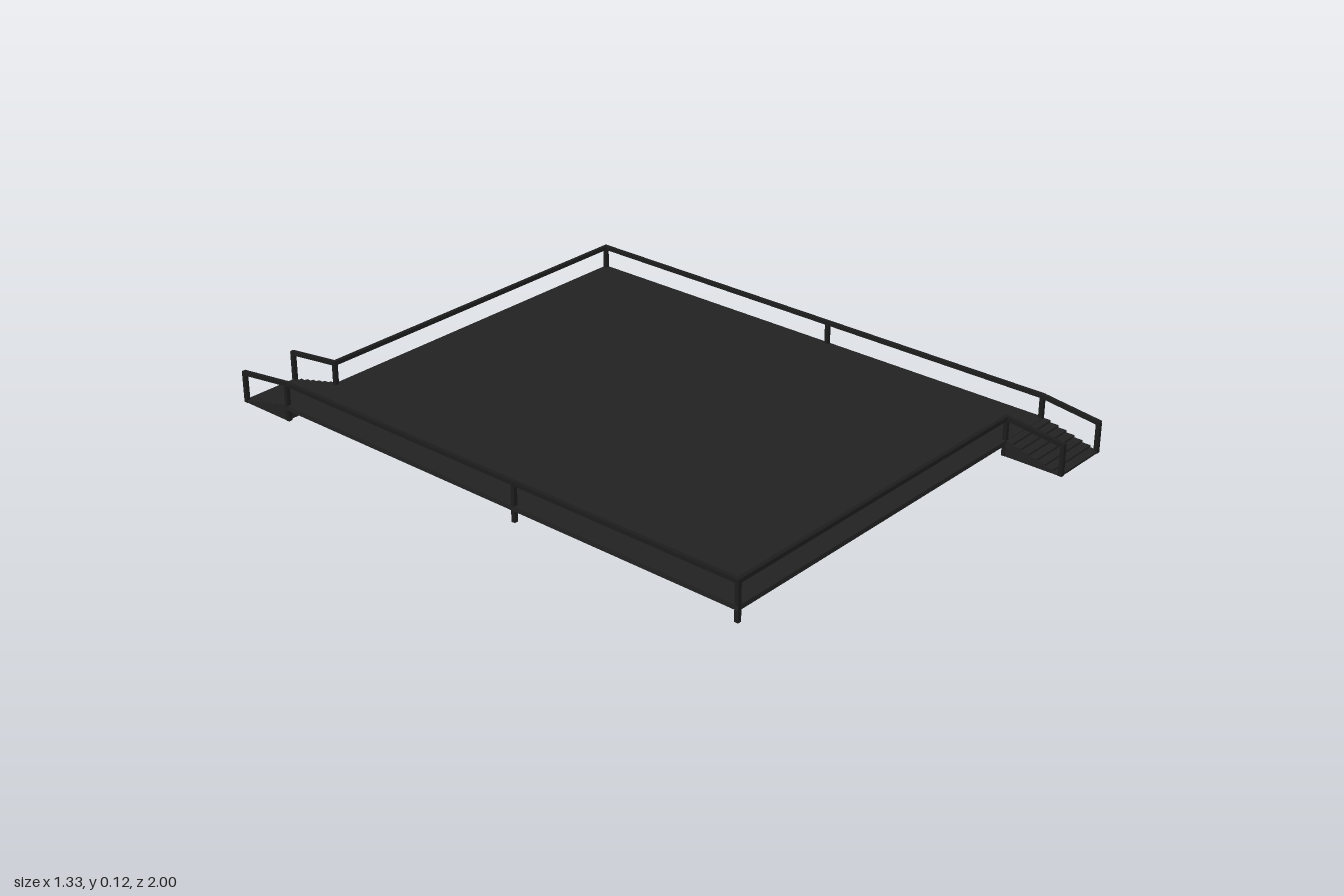
import * as THREE from 'three';

export function createModel() {
  const model = new THREE.Group();
  const deckMat = new THREE.MeshStandardMaterial({ color: 0x222222 });
  deckMat.name = 'deck charcoal';
  const railMat = new THREE.MeshStandardMaterial({ color: 0x1c1c1c });
  railMat.name = 'rail black';

  const X = 0.659, Z = 0.813, T = 0.012, TOP = 0.114;
  const INNER = 0.481, END = 0.994, LOW = 0.091, MIDDLE = 0.07;

  function box(name, mat, w, h, d, x, y, z, parent = model) {
    const mesh = new THREE.Mesh(new THREE.BoxGeometry(w, h, d), mat);
    mesh.name = name;
    mesh.position.set(x, y, z);
    parent.add(mesh);
    return mesh;
  }
  const post = (name, x, z, h, parent) => box(name, railMat, T, h, T, x, h / 2, z, parent);

  // Platform
  box('deck', deckMat, 1.33, 0.014, 1.638, 0, 0.041, 0);

  // Long side rails with middle posts
  for (const x of [-X, X]) {
    box('sideRail', railMat, T, T, 2 * Z + T, x, TOP, 0);
    post('middlePost', x, MIDDLE, TOP);
  }

  // Each end has a rail, posts and a stair; the back end is the front turned half way round
  for (const turn of [0, Math.PI]) {
    const end = new THREE.Group();
    end.name = turn ? 'backEnd' : 'frontEnd';
    end.rotation.y = turn;
    model.add(end);

    box('endRail', railMat, X + INNER, T, T, (INNER - X) / 2, TOP, Z, end);
    for (const x of [-X, INNER, X]) post('cornerPost', x, Z, TOP + T / 2, end);

    // Solid stair with a stepped profile
    const steps = 7, z0 = 0.815, run = (0.998 - z0) / steps, rise = 0.046 / steps;
    const profile = new THREE.Shape();
    profile.moveTo(z0, 0);
    for (let i = 0; i < steps; i++) {
      profile.lineTo(z0 + i * run, (steps - i) * rise);
      profile.lineTo(z0 + (i + 1) * run, (steps - i) * rise);
    }
    profile.lineTo(z0 + steps * run, 0);
    const stairGeo = new THREE.ExtrudeGeometry(profile, { depth: 0.188, bevelEnabled: false });
    stairGeo.rotateY(-Math.PI / 2);
    const stair = new THREE.Mesh(stairGeo, deckMat);
    stair.name = 'stair';
    stair.position.x = 0.664;
    end.add(stair);

    // Sloping handrails on both sides of the stair
    const dz = END - Z, dy = TOP - LOW;
    for (const x of [INNER, X]) {
      post('stairPost', x, END, LOW, end);
      const rail = box('stairRail', railMat, T, T, Math.hypot(dz, dy) + T * 0.8,
        x, (TOP + LOW) / 2, (Z + END) / 2, end);
      rail.rotation.x = Math.atan2(dy, dz);
    }
  }
  return model;
}
